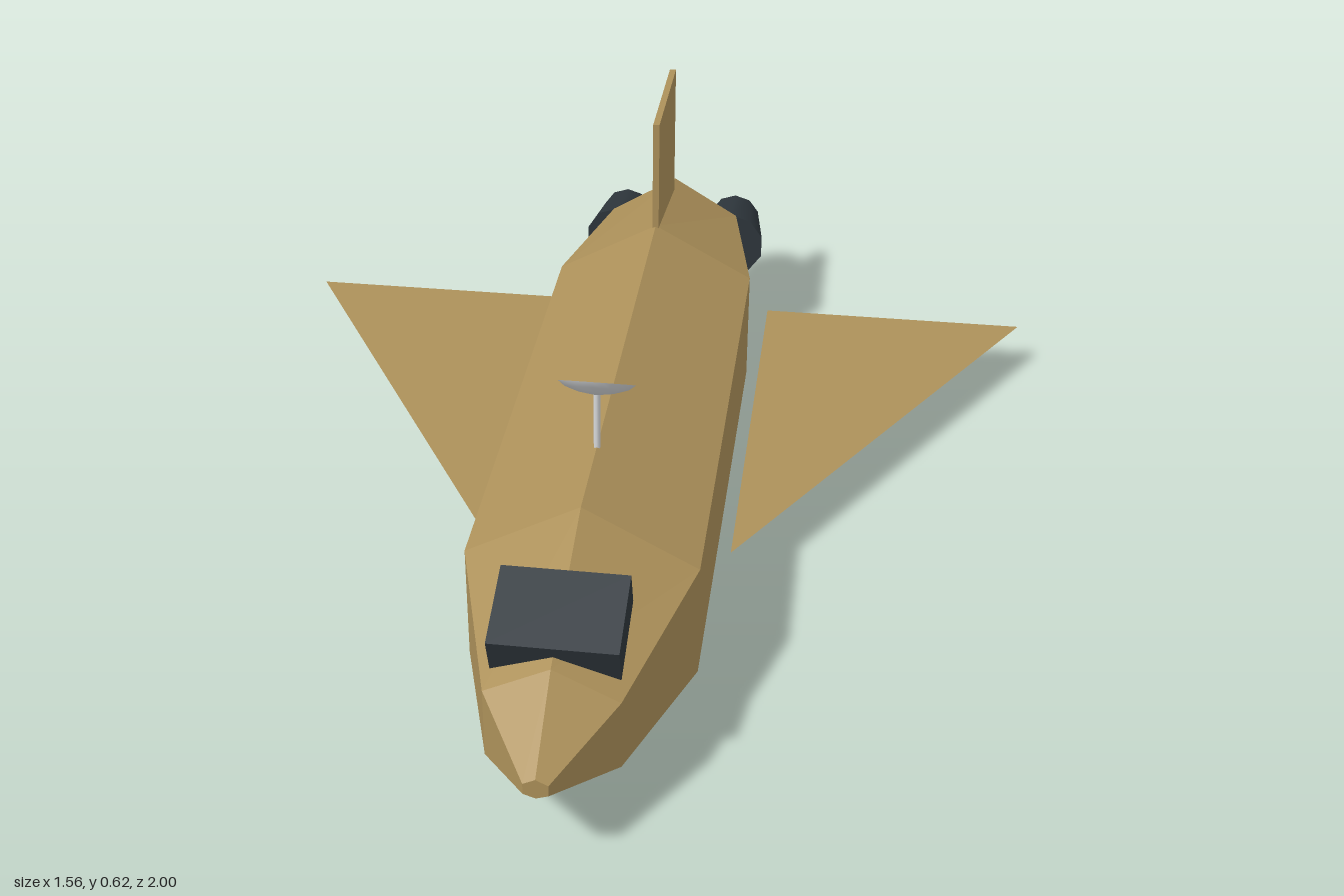
import * as THREE from 'three';

// Joins hexagonal cross-sections, nose to tail, into a flat-faced closed hull
function loftHull(sections) {
  const rings = sections.map(([z, w, top, shoulder, chine, keel]) => [
    [0, top, z], [-w, shoulder, z], [-w, chine, z], [0, keel, z], [w, chine, z], [w, shoulder, z],
  ]);
  const pos = [];
  const tri = (a, b, c) => pos.push(...a, ...b, ...c);
  for (let s = 0; s < rings.length - 1; s++) {
    const a = rings[s], b = rings[s + 1];
    for (let i = 0; i < 6; i++) {
      const j = (i + 1) % 6;
      tri(a[i], b[i], a[j]);
      tri(a[j], b[i], b[j]);
    }
  }
  const nose = rings[0], tail = rings[rings.length - 1];
  for (let i = 1; i < 5; i++) {
    tri(nose[0], nose[i], nose[i + 1]);
    tri(tail[0], tail[i + 1], tail[i]);
  }
  const geo = new THREE.BufferGeometry();
  geo.setAttribute('position', new THREE.Float32BufferAttribute(pos, 3));
  geo.computeVertexNormals();
  return geo;
}

export function createModel() {
  const model = new THREE.Group();
  model.name = 'shuttle';

  const tan = new THREE.MeshStandardMaterial({ color: 0xad915a, side: THREE.DoubleSide });
  tan.name = 'tanHull';
  const dark = new THREE.MeshStandardMaterial({ color: 0x2e363c });
  dark.name = 'darkSlate';
  const pale = new THREE.MeshStandardMaterial({ color: 0xd8dadc });
  pale.name = 'paleMetal';

  const add = (name, geo, mat, x = 0, y = 0, z = 0, parent = model) => {
    const mesh = new THREE.Mesh(geo, mat);
    mesh.name = name;
    mesh.position.set(x, y, z);
    parent.add(mesh);
    return mesh;
  };

  // Fuselage: z, half width, ridge, shoulder, chine, keel
  add('fuselage', loftHull([
    [1.0, 0.02, 0.2, 0.19, 0.17, 0.163],
    [0.85, 0.11, 0.29, 0.235, 0.105, 0.095],
    [0.54, 0.2, 0.38, 0.272, 0.055, 0.013],
    [-0.48, 0.2, 0.39, 0.28, 0.05, 0.005],
    [-0.85, 0.14, 0.325, 0.24, 0.085, 0.055],
  ]), tan);

  // Tail fin
  add('tailFin', new THREE.BoxGeometry(0.013, 0.3, 0.295), tan, 0, 0.47, -0.6225);

  // Cockpit block, sloping down to the nose
  add('cockpit', new THREE.BoxGeometry(0.21, 0.073, 0.147), dark, 0, 0.308, 0.754).rotation.x = 0.34;

  // Belly hatch
  add('bellyHatch', new THREE.BoxGeometry(0.254, 0.009, 0.33), dark, 0, 0.0045, -0.475);

  // Flat delta wings and engines, one of each per side
  for (const [side, s] of [['left', 1], ['right', -1]]) {
    const outline = new THREE.Shape([
      new THREE.Vector2(s * 0.23, -0.25),
      new THREE.Vector2(s * 0.23, 0.67),
      new THREE.Vector2(s * 0.78, 0.67),
    ]);
    add(side + 'Wing', new THREE.ShapeGeometry(outline).rotateX(-Math.PI / 2), tan, 0, 0.1, 0);

    const engine = new THREE.Group();
    engine.name = side + 'Engine';
    engine.position.set(s * 0.127, 0.165, 0);
    model.add(engine);
    // Cylinder top faces forward after the turn
    const nozzle = new THREE.CylinderGeometry(0.077, 0.056, 0.145, 10).rotateX(Math.PI / 2);
    add('nozzle', nozzle, dark, 0, 0, -0.9225, engine);
    const exhaust = new THREE.CylinderGeometry(0.052, 0.052, 0.009, 10).rotateX(Math.PI / 2);
    add('exhaust', exhaust, pale, 0, 0, -0.9955, engine);
  }

  // Antenna mast and shallow dish tilted back
  add('antennaMast', new THREE.CylinderGeometry(0.006, 0.006, 0.13, 8), pale, 0, 0.435, 0.355);
  const bowl = [[0, -0.018], [0.03, -0.014], [0.055, -0.006], [0.067, 0.003]]
    .map(([r, y]) => new THREE.Vector2(r, y));
  const dish = new THREE.Group();
  dish.name = 'antennaDish';
  dish.position.set(0, 0.504, 0.353);
  dish.rotation.x = -0.56;
  model.add(dish);
  add('dishBowl', new THREE.LatheGeometry(bowl, 24), pale, 0, 0, 0, dish);
  add('dishFace', new THREE.CircleGeometry(0.067, 24).rotateX(-Math.PI / 2), pale, 0, 0.003, 0, dish);

  return model;
}
